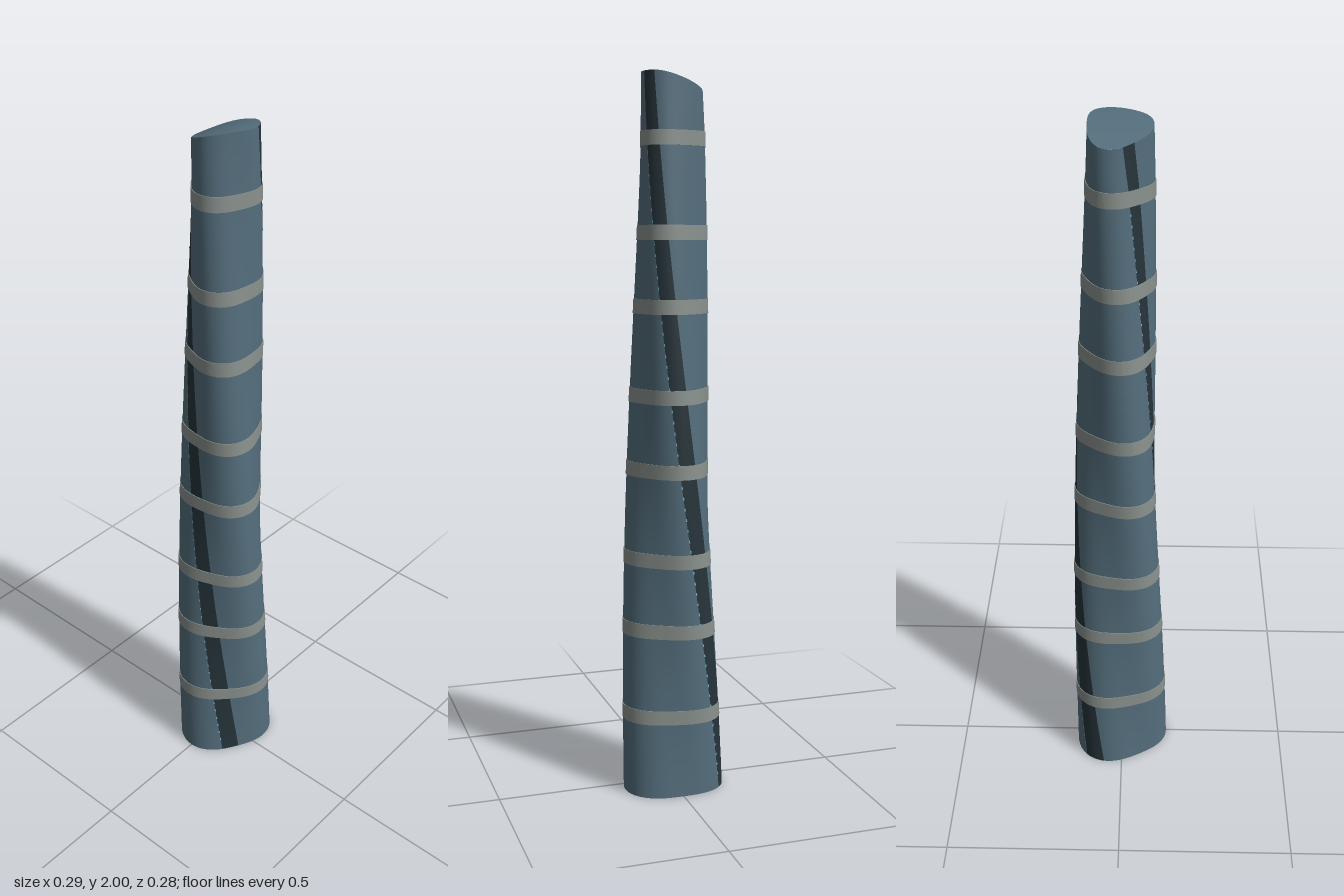
import * as THREE from 'three';
import { mergeGeometries } from 'three/addons/utils/BufferGeometryUtils.js';

const DEG = Math.PI / 180;
const TWIST = -60; // degrees of turn per unit of height

// Point on the twisted, tapering rounded-triangle skin; az is measured from +z towards +x at the base.
function skinPoint(az, y, offset = 0, scale = 1) {
  const half = 0.14 - 0.029 * y;
  const r = (half * (1 + 0.085 * Math.cos(3 * az * DEG)) + offset) * scale;
  const a = (az + TWIST * y) * DEG;
  const x = r * Math.sin(a);
  const z = r * Math.cos(a) - 0.012;
  // slanted crown: the top dips towards -x
  const dip = 0.05 * Math.pow(Math.max(0, (0.07 - x) / 0.155), 1.6);
  const blend = Math.max(0, (y - 1.85) / 0.15);
  return [x, y - dip * blend, z];
}

// Surface patch from a rule f(u, v) with u and v in 0..1
function patch(f, nu, nv) {
  const pos = [], index = [];
  for (let j = 0; j <= nv; j++) {
    for (let i = 0; i <= nu; i++) pos.push(...f(i / nu, j / nv));
  }
  for (let j = 0; j < nv; j++) {
    for (let i = 0; i < nu; i++) {
      const a = j * (nu + 1) + i, b = a + 1, c = a + nu + 1, d = c + 1;
      index.push(a, b, d, a, d, c);
    }
  }
  const g = new THREE.BufferGeometry();
  g.setAttribute('position', new THREE.Float32BufferAttribute(pos, 3));
  g.setIndex(index);
  g.computeVertexNormals();
  return g;
}

const wall = (az0, az1, y0, y1, offset, nu, nv) => patch(
  (u, v) => skinPoint(az0 + (az1 - az0) * u, y0 + (y1 - y0) * v, offset), nu, nv);

export function createModel() {
  const material = (name, color) => {
    const m = new THREE.MeshStandardMaterial({ color });
    m.name = name;
    return m;
  };
  const glass = material('blue grey glass', 0x546e7c);
  const dark = material('dark glass', 0x26343a);
  const metal = material('pale grey metal', 0x8a918d);
  const light = material('cyan light', 0x6fb4c8);

  const tower = new THREE.Group();
  tower.name = 'twistedTower';
  const add = (name, geometry, mat) => {
    const mesh = new THREE.Mesh(geometry, mat);
    mesh.name = name;
    tower.add(mesh);
  };

  // Two spiralling dark recess strips with glass walls between them
  const strips = [52, 242], w = 11.5;
  strips.forEach((az, i) => {
    const next = i === 0 ? strips[1] : strips[0] + 360;
    add('darkStrip', wall(az - w, az + w, 0, 2, 0, 5, 80), dark);
    add('glassWall', wall(az + w, next - w, 0, 2, 0, 32, 80), glass);

    // Row of tiny lights along the edge of the strip
    const dots = [];
    for (let y = 0.04; y < 1.84; y += 0.03) {
      dots.push(wall(az - w - 0.8, az - w + 0.8, y, y + 0.008, 0.0012, 1, 1));
    }
    add('edgeLights', mergeGeometries(dots), light);
  });

  // Slanted roof and flat underside
  add('roof', patch((u, v) => skinPoint(360 * u, 2, 0, 1 - v), 72, 6), glass);
  add('underside', patch((u, v) => skinPoint(360 * u, 0, 0, v), 72, 1), glass);

  // Floor bands: a thin raised ring with closed lips
  for (const y of [0.23, 0.475, 0.675, 0.925, 1.13, 1.375, 1.575, 1.825]) {
    const ring = [[-0.02, 0], [-0.02, 0.002], [0.02, 0.002], [0.02, 0]];
    const parts = [0, 1, 2].map((k) => patch((u, v) => {
      const [dy, off] = ring[k + Math.round(v)];
      return skinPoint(360 * u, y + dy, off);
    }, 72, 1));
    add('floorBand', mergeGeometries(parts), metal);
  }
  return tower;
}
